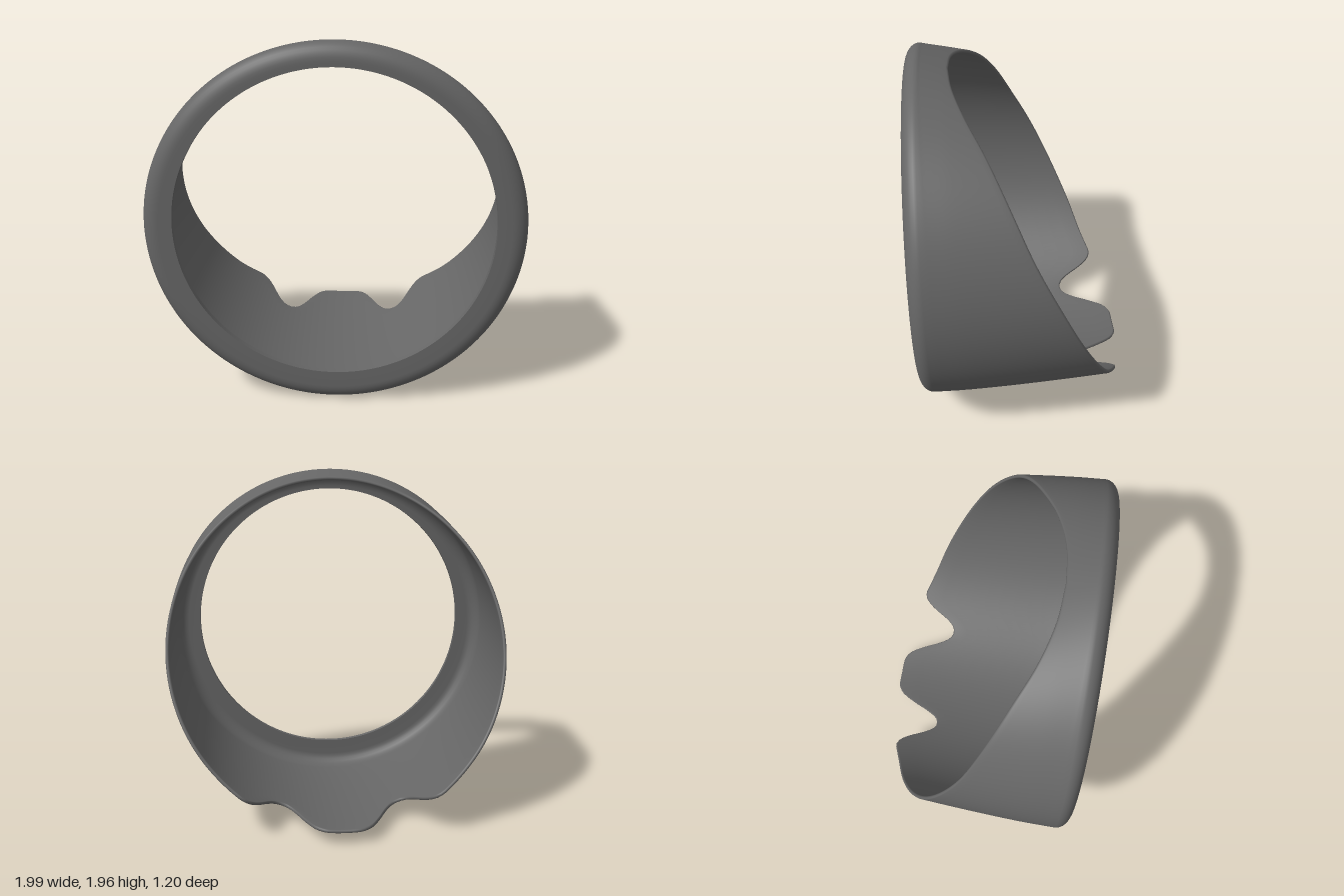
import * as THREE from 'three';

// Rear cut line, half way round: [degrees from top, z]
const CUT = [
  [0, 0.37], [12.1, 0.352], [24.9, 0.295], [39, 0.2], [57.4, 0.08], [70, -0.005],
  [90, -0.165], [108, -0.3], [123, -0.4], [135, -0.463], [142, -0.503], [144.5, -0.516],
  [146.5, -0.512], [148.5, -0.492], [151, -0.445], [155, -0.345], [157.4, -0.305],
  [159.7, -0.293], [162.2, -0.31], [164.7, -0.37], [167.8, -0.48], [170.9, -0.565],
  [174, -0.597], [176, -0.6], [180, -0.6],
];
const FRONT = 0.6, WALL = 0.02, FLANGE = 0.03;

// Evenly spaced columns along the cut line, mirrored to the other side
function columns() {
  const pts = CUT.map(([d, z]) => new THREE.Vector3(THREE.MathUtils.degToRad(d), z, 0));
  const half = new THREE.CatmullRomCurve3(pts).getSpacedPoints(120)
    .map((p) => ({ a: p.x, cut: p.y }));
  const other = half.slice(1, -1).reverse().map((c) => ({ a: 2 * Math.PI - c.a, cut: c.cut }));
  return half.concat(other);
}

// Outer radius: slight taper to the rear, lower and steeper at the top
function outerRadius({ a, cut }, z) {
  const top = Math.pow((1 + Math.cos(a)) / 2, 2.5);
  const taper = 0.06 * Math.pow(Math.max(0, 0.4 - z), 1.4);
  const u = THREE.MathUtils.clamp((0.53 - z) / (0.53 - cut), 0, 1);
  return 1 - 0.04 * top - 0.05 * top * u - taper;
}

const holeRadius = (a) => 0.83 + 0.01 * Math.cos(a);

// Section from the front of the hole, over the wall and back inside
function shellProfile(col) {
  const p = [];
  const hole = holeRadius(col.a), rm = outerRadius(col, 0.53);
  p.push([hole, FRONT], [(hole + rm - 0.09) / 2, FRONT]);
  for (let i = 0; i <= 8; i++) { // rounded front corner
    const t = (i / 8) * Math.PI / 2;
    p.push([rm - 0.09 + 0.09 * Math.sin(t), FRONT - 0.075 + 0.075 * Math.cos(t)]);
  }
  const end = col.cut + WALL / 2;
  for (let i = 1; i <= 14; i++) {
    const z = THREE.MathUtils.lerp(FRONT - 0.075, end, i / 14);
    p.push([outerRadius(col, z), z]);
  }
  const re = outerRadius(col, end) - WALL / 2;
  for (let i = 1; i < 4; i++) { // rounded rear edge
    const t = (i / 4) * Math.PI;
    p.push([re + WALL / 2 * Math.cos(t), end - WALL / 2 * Math.sin(t)]);
  }
  const zf = 0.49, back = FRONT - FLANGE;
  for (let i = 0; i <= 10; i++) {
    const z = THREE.MathUtils.lerp(end, zf, i / 10);
    p.push([outerRadius(col, z) - WALL, z]);
  }
  const ri = outerRadius(col, zf) - WALL;
  for (let i = 1; i <= 6; i++) { // inner fillet into the flange
    const t = (i / 6) * Math.PI / 2;
    p.push([ri - 0.07 * (1 - Math.cos(t)), zf + (back - zf) * Math.sin(t)]);
  }
  p.push([hole, back]);
  return p;
}

// Closed loft of one section per column
function loft(cols, profile) {
  const pos = [], index = [];
  let m = 0;
  for (const col of cols) {
    const section = profile(col);
    m = section.length;
    for (const [r, z] of section) pos.push(r * Math.sin(col.a), 1 + r * Math.cos(col.a), z);
  }
  for (let i = 0; i < cols.length; i++) {
    const n = (i + 1) % cols.length;
    for (let j = 0; j < m - 1; j++) {
      const a = i * m + j, b = n * m + j;
      index.push(a, b, a + 1, b, b + 1, a + 1);
    }
  }
  const g = new THREE.BufferGeometry();
  g.setAttribute('position', new THREE.Float32BufferAttribute(pos, 3));
  g.setIndex(index);
  g.computeVertexNormals();
  return g;
}

export function createModel() {
  const group = new THREE.Group();
  group.name = 'hood';
  const grey = new THREE.MeshStandardMaterial({ color: 0x666666 });
  grey.name = 'dark grey';
  const cols = columns();

  const shell = new THREE.Mesh(loft(cols, shellProfile), grey);
  shell.name = 'hoodShell';

  // Sharp-edged inside of the front opening
  const edge = new THREE.Mesh(loft(cols, ({ a }) => [
    [holeRadius(a), FRONT - FLANGE], [holeRadius(a), FRONT],
  ]), grey);
  edge.name = 'openingEdge';

  group.add(shell, edge);
  return group;
}
